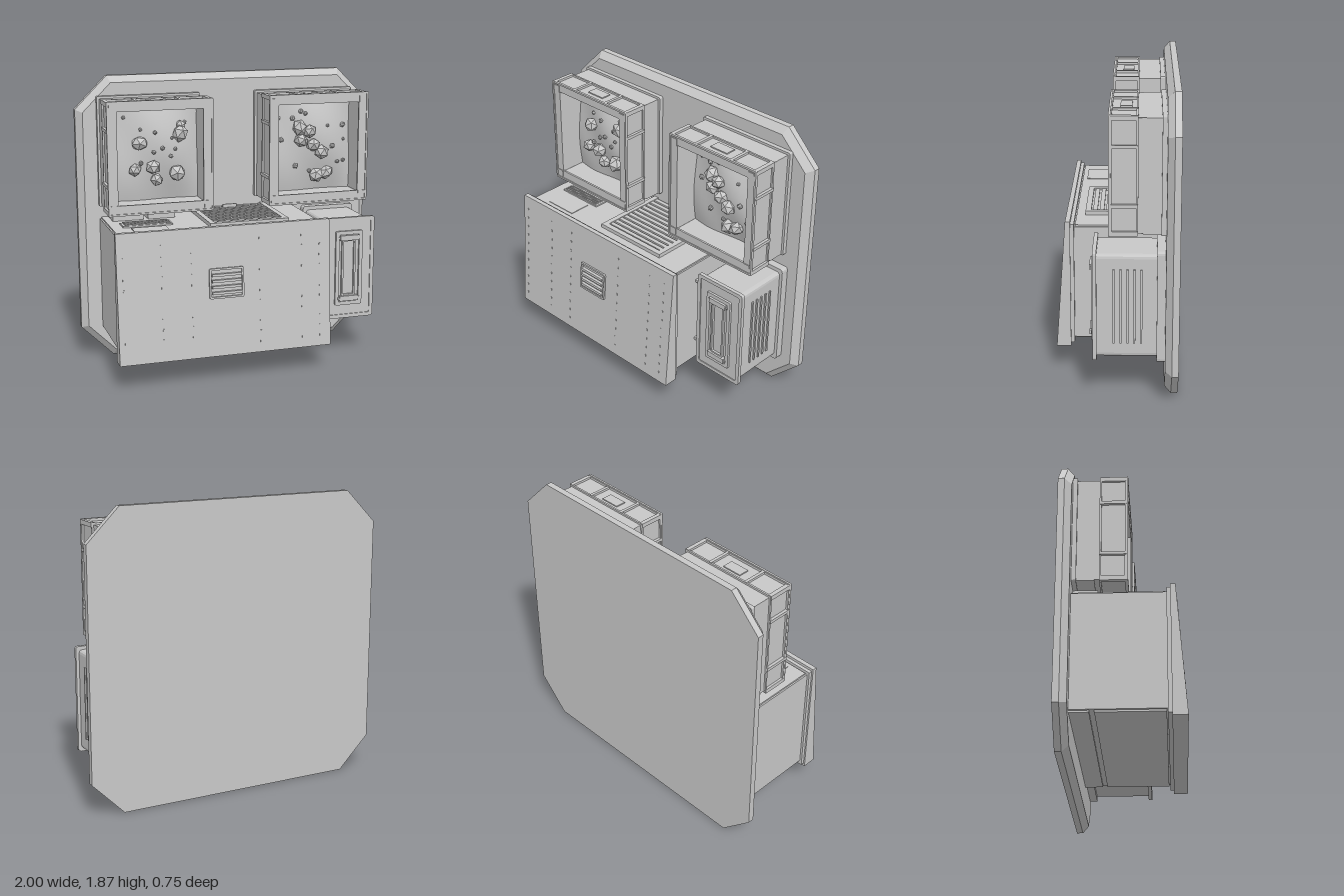
import * as THREE from 'three';

const grey = new THREE.MeshStandardMaterial({ color: 0xc8c8c8 });
grey.name = 'plain grey';

function add(parent, name, geometry) {
  const mesh = new THREE.Mesh(geometry, grey);
  mesh.name = name;
  parent.add(mesh);
  return mesh;
}

// Box given by its limits on each axis
function box(parent, name, x0, x1, y0, y1, z0, z1) {
  const mesh = add(parent, name, new THREE.BoxGeometry(x1 - x0, y1 - y0, z1 - z0));
  mesh.position.set((x0 + x1) / 2, (y0 + y1) / 2, (z0 + z1) / 2);
  return mesh;
}

function group(parent, name) {
  const g = new THREE.Group();
  g.name = name;
  parent.add(g);
  return g;
}

// Traces a rectangle with rounded corners
function roundRect(path, x0, x1, y0, y1, r) {
  path.moveTo(x0 + r, y0);
  path.lineTo(x1 - r, y0);
  path.quadraticCurveTo(x1, y0, x1, y0 + r);
  path.lineTo(x1, y1 - r);
  path.quadraticCurveTo(x1, y1, x1 - r, y1);
  path.lineTo(x0 + r, y1);
  path.quadraticCurveTo(x0, y1, x0, y1 - r);
  path.lineTo(x0, y0 + r);
  path.quadraticCurveTo(x0, y0, x0 + r, y0);
  return path;
}

// Rounded slab facing +z; a rim width turns it into a frame
function slab(parent, name, x0, x1, y0, y1, z0, z1, r = 0.015, rim = 0) {
  const shape = roundRect(new THREE.Shape(), x0, x1, y0, y1, r);
  if (rim) shape.holes.push(roundRect(new THREE.Path(), x0 + rim, x1 - rim, y0 + rim, y1 - rim, r * 0.5));
  const geo = new THREE.ExtrudeGeometry(shape, { depth: z1 - z0, bevelEnabled: false, curveSegments: 3 });
  geo.translate(0, 0, z0);
  return add(parent, name, geo);
}

// Octagonal wall plate lofted through rings, with a bevelled front edge
function wallPlate() {
  const ring = (inset, z) => {
    const a = 1 - inset, lo = inset, hi = 1.87 - inset, c = 0.21 - inset * 0.6;
    return [[-a + c, lo], [a - c, lo], [a, lo + c], [a, hi - c], [a - c, hi], [-a + c, hi], [-a, hi - c], [-a, lo + c]]
      .map(([x, y]) => [x, y, z]);
  };
  const rings = [ring(0, -0.375), ring(0, -0.335), ring(0.042, -0.295)];
  const pos = [];
  const tri = (a, b, c) => pos.push(...a, ...b, ...c);
  for (let k = 0; k < 2; k++) {
    for (let i = 0; i < 8; i++) {
      const j = (i + 1) % 8, p = rings[k], q = rings[k + 1];
      tri(p[i], p[j], q[j]);
      tri(p[i], q[j], q[i]);
    }
  }
  for (let i = 1; i < 7; i++) {
    tri(rings[0][0], rings[0][i + 1], rings[0][i]);
    tri(rings[2][0], rings[2][i], rings[2][i + 1]);
  }
  const geo = new THREE.BufferGeometry();
  geo.setAttribute('position', new THREE.Float32BufferAttribute(pos, 3));
  geo.computeVertexNormals();
  return geo;
}

let seed = 7;
const rand = () => (seed = (seed * 16807) % 2147483647) / 2147483647;

// Height of the heaped ground inside a bin, from its centre
const heap = (x, y) => -0.15 + 0.07 * Math.cos(x * 5) * Math.cos(y * 4.6) + 0.012 * Math.sin(x * 13 + y * 9);

// Open-fronted bin filled with ground and rocks
function bin(parent, name, cx, rocks, pebbles) {
  const g = group(parent, name);
  g.position.set(cx, 1.39, 0);
  slab(g, 'binBackPlate', -0.34, 0.34, -0.355, 0.357, -0.295, -0.267, 0.01);
  box(g, 'binRearBody', -0.325, 0.325, -0.35, 0.342, -0.267, -0.16);
  slab(g, 'binWalls', -0.325, 0.325, -0.345, 0.342, -0.16, 0.025, 0.003, 0.045);
  slab(g, 'binFrontFrame', -0.338, 0.338, -0.355, 0.357, 0.02, 0.033, 0.006, 0.062);
  slab(g, 'binOuterLip', -0.34, 0.34, -0.358, 0.36, 0.027, 0.04, 0.008, 0.012);
  for (const s of [-1, 1]) {
    for (const t of [-1, 1]) {
      const x = s * 0.302, y = t * 0.315;
      box(g, 'cornerPad', x - 0.023, x + 0.023, y - 0.023, y + 0.023, 0.03, 0.038);
      box(g, 'cornerPost', s * 0.327 - 0.013, s * 0.327 + 0.013, t * 0.342 - 0.014, t * 0.342 + 0.014, -0.13, 0.03);
    }
    // Ribs wrapped around the front half
    for (const t of [-0.175, 0.175]) {
      box(g, 'sideRib', s * 0.332 - 0.011, s * 0.332 + 0.011, t - 0.01, t + 0.01, -0.13, 0.03);
    }
    for (const x of [-0.14, 0.14]) {
      box(g, 'crossRib', x - 0.01, x + 0.01, s * 0.345 - 0.011, s * 0.345 + 0.011, -0.13, 0.03);
    }
    box(g, 'sideBand', s * 0.328 - 0.008, s * 0.328 + 0.008, -0.35, 0.35, -0.132, -0.12);
    box(g, 'crossBand', -0.335, 0.335, s * 0.346 - 0.008, s * 0.346 + 0.008, -0.132, -0.12);
  }
  box(g, 'topPlaque', -0.065, 0.065, 0.34, 0.349, -0.095, -0.025);

  const ground = new THREE.PlaneGeometry(0.57, 0.61, 14, 14);
  const p = ground.attributes.position;
  for (let i = 0; i < p.count; i++) p.setZ(i, heap(p.getX(i), p.getY(i)));
  ground.computeVertexNormals();
  add(g, 'ground', ground);

  const stone = (label, x, y, r) => {
    const m = add(g, label, new THREE.IcosahedronGeometry(r, 0));
    m.position.set(x - cx, y - 1.39, heap(x - cx, y - 1.39) + r * 0.35);
    m.rotation.set(rand() * 6, rand() * 6, rand() * 6);
    m.scale.set(0.9 + rand() * 0.25, 1 + rand() * 0.25, 0.85 + rand() * 0.25);
  };
  for (const [x, y, r] of rocks) stone('rock', x, y, r);
  for (const [x, y] of pebbles) stone('pebble', x, y, 0.012 + rand() * 0.007);
}

export function createModel() {
  const model = new THREE.Group();
  model.name = 'wallStation';
  add(model, 'wallPlate', wallPlate());

  // Main cabinet with a slightly drawn-in underside
  const cabinet = group(model, 'cabinet');
  box(cabinet, 'cabinetBody', -0.865, 0.46, 0.22, 0.95, -0.3, 0.265);
  box(cabinet, 'cabinetBase', -0.85, 0.445, 0.208, 0.225, -0.15, 0.255);
  box(cabinet, 'cabinetRearBase', -0.85, 0.445, 0.208, 0.225, -0.3, -0.18);
  box(cabinet, 'cabinetTopRim', -0.855, 0.45, 0.945, 0.96, -0.3, 0.255);
  box(cabinet, 'panelFlange', -0.88, 0.48, 0.19, 0.972, 0.262, 0.288);

  // Leaning front panel
  const panel = box(cabinet, 'frontPanel', -0.89, 0.49, 0.17, 0.99, 0.285, 0.375);
  const pp = panel.geometry.attributes.position;
  for (let i = 0; i < pp.count; i++) if (pp.getY(i) > 0 && pp.getZ(i) > 0) pp.setZ(i, pp.getZ(i) - 0.06);
  panel.geometry.computeVertexNormals();

  const face = group(cabinet, 'panelDetails');
  face.position.set(-0.2, 0.58, 0.345);
  face.rotation.x = -0.073;
  slab(face, 'ventFrame', -0.112, 0.112, -0.04, 0.152, -0.003, 0.012, 0.012, 0.012);
  for (let i = 0; i < 4; i++) box(face, 'ventSlat', -0.095, 0.095, -0.012 + i * 0.038, 0.004 + i * 0.038, -0.003, 0.022);
  for (const x of [-0.65, -0.41, -0.22, 0.22, 0.5, 0.62]) {
    for (let i = 0; i < 11; i++) {
      const y = -0.34 + i * 0.066;
      box(face, 'rivet', x - 0.004, x + 0.004, y - 0.006, y + 0.006, -0.002, 0.003);
    }
  }

  // Slatted tray on top of the cabinet
  const tray = group(model, 'slattedTray');
  box(tray, 'trayBase', -0.255, 0.255, 0.955, 0.97, -0.3, 0.195);
  for (const s of [-1, 1]) box(tray, 'traySide', s * 0.243 - 0.017, s * 0.243 + 0.017, 0.955, 0.985, -0.3, 0.2);
  box(tray, 'trayFront', -0.26, 0.26, 0.955, 0.985, 0.165, 0.2);
  for (let i = 0; i < 11; i++) {
    const z = 0.14 - i * 0.041;
    box(tray, 'traySlat', -0.226, 0.226, 0.965, 0.981, z - 0.014, z + 0.014);
  }
  box(tray, 'trayHandle', -0.05, 0.045, 0.97, 1.003, -0.24, -0.228);

  // Small fittings on the cabinet top
  const fittings = group(model, 'topFittings');
  box(fittings, 'topLabel', -0.74, -0.52, 0.955, 0.964, 0.08, 0.225);
  box(fittings, 'topVent', -0.785, -0.465, 0.955, 0.97, -0.05, 0.055);
  for (let i = 0; i < 5; i++) box(fittings, 'topVentSlat', -0.77, -0.48, 0.965, 0.977, -0.043 + i * 0.02, -0.033 + i * 0.02);
  box(fittings, 'rearBlock', -0.58, -0.4, 0.955, 1.013, -0.29, -0.14);
  box(fittings, 'rearPlate', -0.81, -0.61, 0.955, 0.998, -0.29, -0.14);

  // Side box with door, handle and louvres
  const side = group(model, 'sideBox');
  slab(side, 'sideBackPlate', 0.525, 0.885, 0.25, 0.945, -0.3, -0.245, 0.02);
  slab(side, 'sideBody', 0.545, 0.865, 0.275, 0.92, -0.25, 0.12, 0.025);
  slab(side, 'sideDoorRim', 0.527, 0.885, 0.255, 0.942, 0.11, 0.134, 0.02, 0.025);
  slab(side, 'sideDoor', 0.55, 0.862, 0.278, 0.918, 0.11, 0.128, 0.01);
  slab(side, 'handleFrame', 0.612, 0.8, 0.348, 0.852, 0.12, 0.143, 0.01, 0.024);
  slab(side, 'handleBar', 0.655, 0.752, 0.41, 0.795, 0.12, 0.143, 0.008, 0.012);
  for (const y of [0.395, 0.808]) {
    box(side, 'handleBracket', 0.64, 0.77, y - 0.017, y + 0.017, 0.12, 0.155);
    box(side, 'bracketFoot', 0.63, 0.782, y - 0.008, y + 0.008, 0.12, 0.148);
  }
  for (const y of [0.375, 0.825]) box(side, 'hinge', 0.455, 0.548, y - 0.009, y + 0.009, 0.05, 0.08);
  for (let i = 0; i < 5; i++) {
    const z = 0.01 - i * 0.041;
    box(side, 'louvre', 0.86, 0.874, 0.365, 0.83, z - 0.006, z + 0.006);
  }

  // Two bins of ground and rocks
  bin(model, 'rightBin', -0.53,
    [[-0.64, 1.465, 0.05], [-0.375, 1.515, 0.052], [-0.365, 1.56, 0.038], [-0.67, 1.295, 0.042],
      [-0.555, 1.31, 0.045], [-0.53, 1.225, 0.045], [-0.4, 1.265, 0.053]],
    [[-0.73, 1.625], [-0.63, 1.55], [-0.54, 1.53], [-0.335, 1.58], [-0.495, 1.43], [-0.55, 1.405],
      [-0.41, 1.42], [-0.44, 1.375], [-0.63, 1.335], [-0.43, 1.49]]);
  bin(model, 'leftBin', 0.523,
    [[0.43, 1.515, 0.05], [0.495, 1.49, 0.043], [0.44, 1.43, 0.046], [0.52, 1.4, 0.044],
      [0.58, 1.35, 0.046], [0.56, 1.19, 0.045], [0.625, 1.205, 0.045]],
    [[0.29, 1.6], [0.3, 1.575], [0.445, 1.62], [0.475, 1.605], [0.39, 1.575], [0.63, 1.52], [0.75, 1.515],
      [0.315, 1.435], [0.755, 1.42], [0.66, 1.385], [0.41, 1.26], [0.705, 1.275], [0.75, 1.28], [0.51, 1.22]]);
  return model;
}
